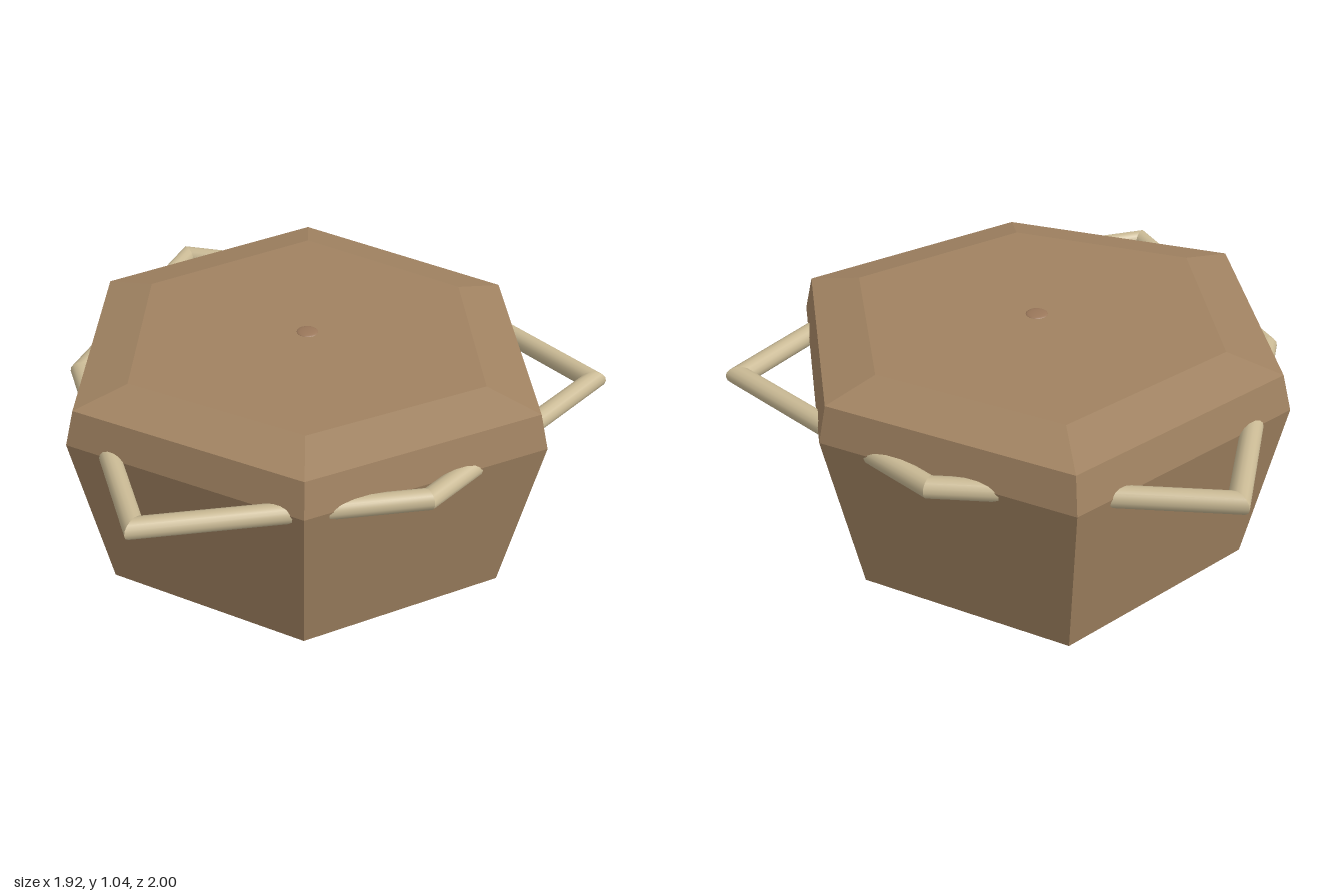
import * as THREE from 'three';

const mat = (color, extra = {}) => new THREE.MeshStandardMaterial({ color, ...extra });
const CX = -0.015, CZ = -0.115; // axis of the vessel

// Slightly irregular six-sided outline, from +x towards +z
const outline = [[0.94, -0.115], [0.42, 0.65], [-0.495, 0.71], [-0.945, -0.115], [-0.495, -0.945], [0.43, -0.895]];
// Outer corners of the handle frame, in the same order
const frame = [[0.955, -0.645], [0.74, 0.35], [-0.04, 0.995], [-0.79, 0.31], [-0.965, -0.695], [0, -1]];

function addMesh(parent, name, geometry, material) {
  const mesh = new THREE.Mesh(geometry, material);
  mesh.name = name;
  parent.add(mesh);
  return mesh;
}

// Joins scaled copies of the outline, from the lowest to the highest
function bodyGeometry() {
  const levels = [[0.08, 0], [0.215, 0.862], [0.86, 1], [0.99, 0.962], [1.035, 0.745], [1.035, 0]];
  const point = (l, i) => {
    const [x, z] = outline[i % 6], [y, s] = levels[l];
    return [CX + (x - CX) * s, y, CZ + (z - CZ) * s];
  };
  const pos = [];
  for (let l = 0; l < levels.length - 1; l++) {
    for (let i = 0; i < 6; i++) {
      const li = point(l, i), lj = point(l, i + 1), ui = point(l + 1, i), uj = point(l + 1, i + 1);
      if (levels[l][1] > 0) pos.push(...lj, ...li, ...ui);
      if (levels[l + 1][1] > 0) pos.push(...lj, ...ui, ...uj);
    }
  }
  const g = new THREE.BufferGeometry();
  g.setAttribute('position', new THREE.Float32BufferAttribute(pos, 3));
  g.computeVertexNormals();
  return g;
}

// One straight round bar of the frame with mitred ends
function frameBar(index) {
  const r = 0.037, sides = 14, y = 0.848;
  const corner = (i) => new THREE.Vector2(...frame[(i + 6) % 6]);
  const normal = (i) => {
    const d = corner(i + 1).sub(corner(i)).normalize();
    return new THREE.Vector2(d.y, -d.x);
  };
  const pos = [], idx = [];
  for (const i of [index, index + 1]) {
    const n1 = normal(i - 1), n2 = normal(i), p = corner(i);
    const miter = n1.clone().add(n2).divideScalar(1 + n1.dot(n2));
    for (let k = 0; k < sides; k++) {
      const t = (k / sides) * Math.PI * 2, off = r * (Math.cos(t) - 1);
      pos.push(p.x + miter.x * off, y + r * Math.sin(t), p.y + miter.y * off);
    }
  }
  for (let k = 0; k < sides; k++) {
    const n = (k + 1) % sides;
    idx.push(sides + k, k, n, sides + k, n, sides + n);
  }
  const g = new THREE.BufferGeometry();
  g.setAttribute('position', new THREE.Float32BufferAttribute(pos, 3));
  g.setIndex(idx);
  g.computeVertexNormals();
  return g;
}

const lathe = (points, sides) => new THREE.LatheGeometry(points.map((p) => new THREE.Vector2(...p)), sides);

export function createModel() {
  const model = new THREE.Group();
  model.name = 'vessel';
  const wood = mat(0xa08261, { flatShading: true });
  const pale = mat(0xc9b994);
  const paleFlat = mat(0xc9b994, { flatShading: true });
  const brown = mat(0x9a775a);

  // Closed six-sided vessel
  addMesh(model, 'body', bodyGeometry(), wood);

  // Handle frame passing through the walls
  const handles = new THREE.Group();
  handles.name = 'handleFrame';
  for (let i = 0; i < 6; i++) addMesh(handles, 'handleBar', frameBar(i), pale);
  model.add(handles);

  // Small dome in the middle of the top
  const dome = addMesh(model, 'topDome', new THREE.SphereGeometry(0.04, 14, 8, 0, Math.PI * 2, 0, Math.PI / 2), brown);
  dome.scale.y = 0.2;
  dome.position.set(CX, 1.034, CZ);

  // Cross bar with thicker grips under the base
  const bar = addMesh(model, 'crossBar', new THREE.CylinderGeometry(0.024, 0.024, 0.8, 12), brown);
  bar.rotation.z = Math.PI / 2;
  bar.position.set(CX, 0.078, CZ);
  const gripProfile = [[0, -0.086], [0.03, -0.086], [0.036, -0.045], [0.036, 0.03], [0.031, 0.086], [0, 0.086]];
  for (const side of [-1, 1]) {
    const grip = addMesh(model, side > 0 ? 'leftGrip' : 'rightGrip', lathe(gripProfile, 10), paleFlat);
    grip.rotation.z = side * Math.PI / 2;
    grip.position.set(CX + side * 0.41, 0.077, CZ);
  }

  // Tapered foot at the lowest point
  const foot = addMesh(model, 'foot', lathe([[0, 0], [0.028, 0.002], [0.036, 0.02], [0.054, 0.06], [0.045, 0.095], [0, 0.11]], 8), paleFlat);
  foot.position.set(CX - 0.005, 0, CZ);

  return model;
}
